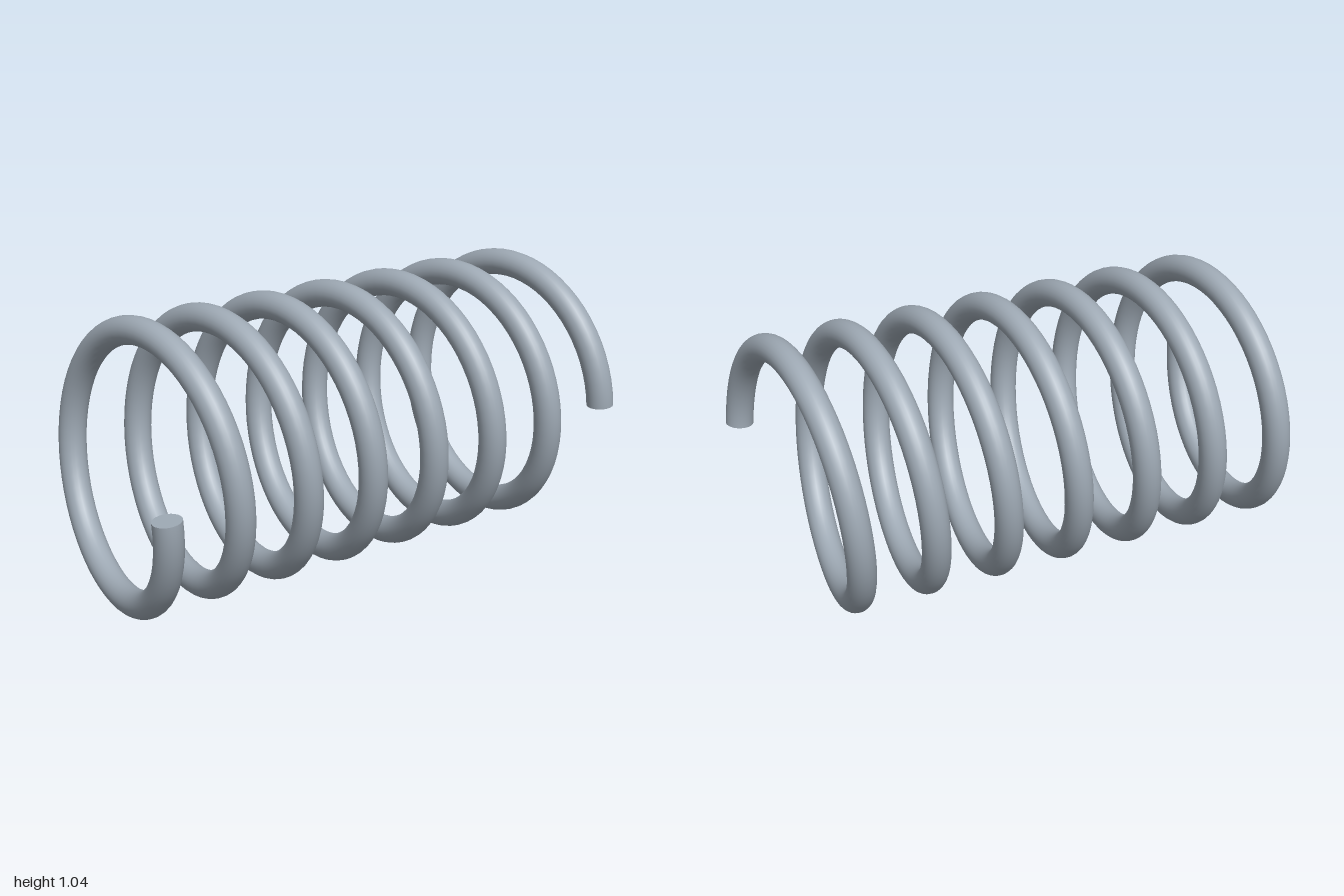
import * as THREE from 'three';

const TURNS = 7, COIL_RADIUS = 0.467, WIRE_RADIUS = 0.051;
const HALF_LENGTH = 0.949, CENTRE_Y = 0.519;

// Centre line of the wire, from the front end to the back end
class Helix extends THREE.Curve {
  getPoint(t, target = new THREE.Vector3()) {
    const a = -t * TURNS * Math.PI * 2;
    return target.set(
      COIL_RADIUS * Math.cos(a),
      CENTRE_Y + COIL_RADIUS * Math.sin(a),
      HALF_LENGTH * (1 - 2 * t)
    );
  }
  getTangent(t, target = new THREE.Vector3()) {
    const w = TURNS * Math.PI * 2, a = -t * w;
    return target.set(
      COIL_RADIUS * w * Math.sin(a),
      -COIL_RADIUS * w * Math.cos(a),
      -2 * HALF_LENGTH
    ).normalize();
  }
}

export function createModel() {
  const group = new THREE.Group();
  group.name = 'coilSpring';
  const steel = new THREE.MeshStandardMaterial({ color: 0x9ea9b4 });
  steel.name = 'blue grey steel';

  // Coiled wire
  const path = new Helix();
  path.arcLengthDivisions = 1400;
  const coil = new THREE.Mesh(new THREE.TubeGeometry(path, TURNS * 64, WIRE_RADIUS, 24), steel);
  coil.name = 'coil';
  group.add(coil);

  // Flat cut ends, square to the wire
  for (const [name, t, side] of [['frontEnd', 0, -1], ['backEnd', 1, 1]]) {
    const cap = new THREE.Mesh(new THREE.CircleGeometry(WIRE_RADIUS, 24), steel);
    cap.name = name;
    cap.position.copy(path.getPoint(t));
    cap.quaternion.setFromUnitVectors(
      new THREE.Vector3(0, 0, 1),
      path.getTangent(t).multiplyScalar(side)
    );
    group.add(cap);
  }
  return group;
}
